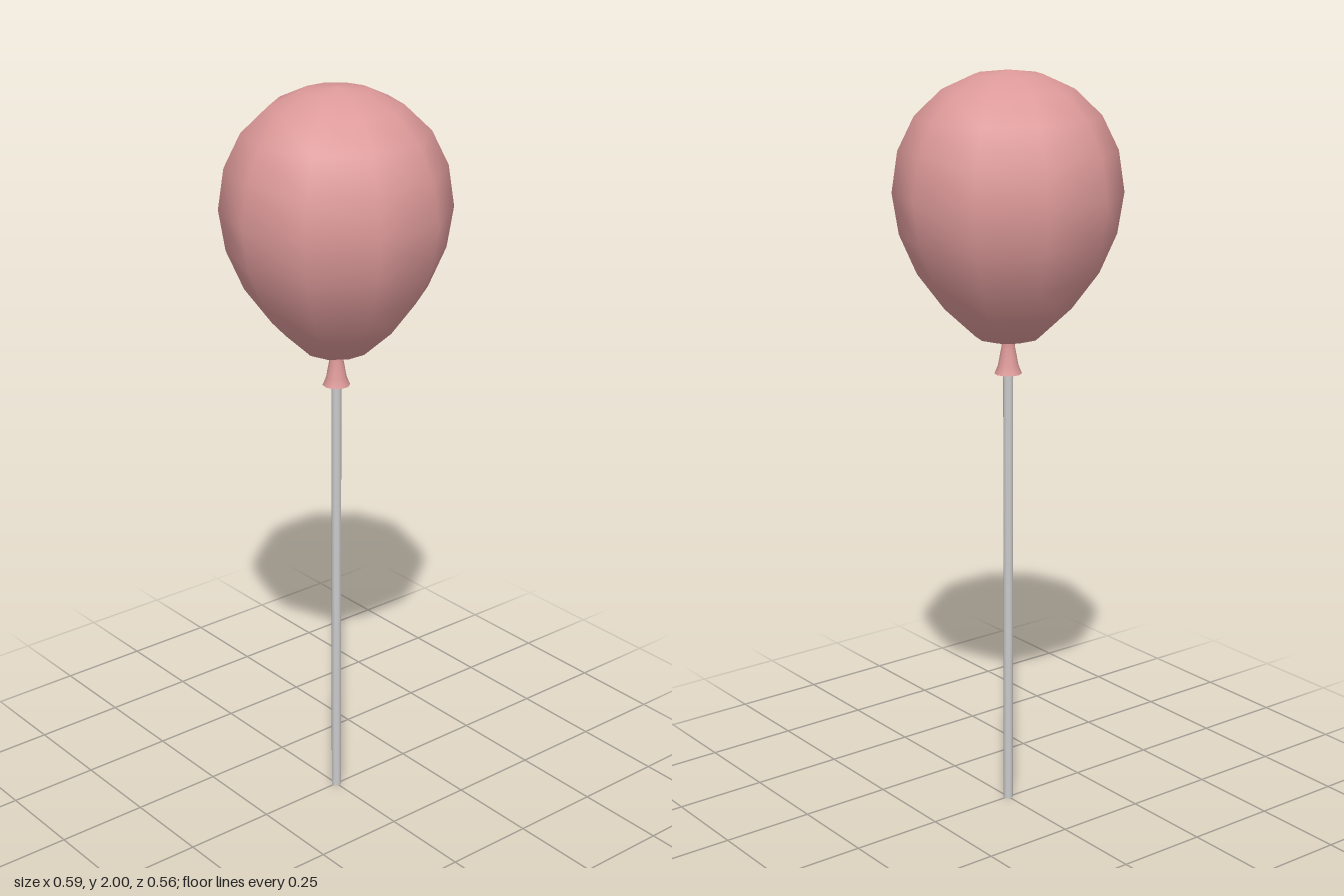
import * as THREE from 'three';

const SIDES = 10;

// Lathe a [radius, height] profile with one corner on the +x axis
function turned(name, profile, material) {
  const points = profile.map(([r, y]) => new THREE.Vector2(r, y));
  const mesh = new THREE.Mesh(new THREE.LatheGeometry(points, SIDES, Math.PI / 2), material);
  mesh.name = name;
  return mesh;
}

export function createModel() {
  const group = new THREE.Group();
  group.name = 'balloonOnStick';
  const rubber = new THREE.MeshStandardMaterial({ color: 0xdd9999 });
  const thinRubber = new THREE.MeshStandardMaterial({ color: 0xdd9999, side: THREE.DoubleSide });
  const grey = new THREE.MeshStandardMaterial({ color: 0xcccccc });

  // Egg-shaped balloon, narrowing towards the knot
  group.add(turned('balloon', [
    [0, 1.293], [0.085, 1.314], [0.165, 1.387], [0.235, 1.48], [0.28, 1.583],
    [0.297, 1.69], [0.281, 1.797], [0.238, 1.885], [0.168, 1.952], [0.087, 1.989], [0, 2],
  ], rubber));

  // Flared neck, open underneath
  group.add(turned('neck', [
    [0.036, 1.215], [0.027, 1.237], [0.018, 1.285], [0.018, 1.3],
  ], thinRubber));

  // Straight stick reaching up inside the neck
  const stick = new THREE.Mesh(new THREE.CylinderGeometry(0.013, 0.013, 1.27, SIDES), grey);
  stick.name = 'stick';
  stick.position.y = 0.635;
  stick.rotation.y = Math.PI / 2;
  group.add(stick);

  return group;
}
